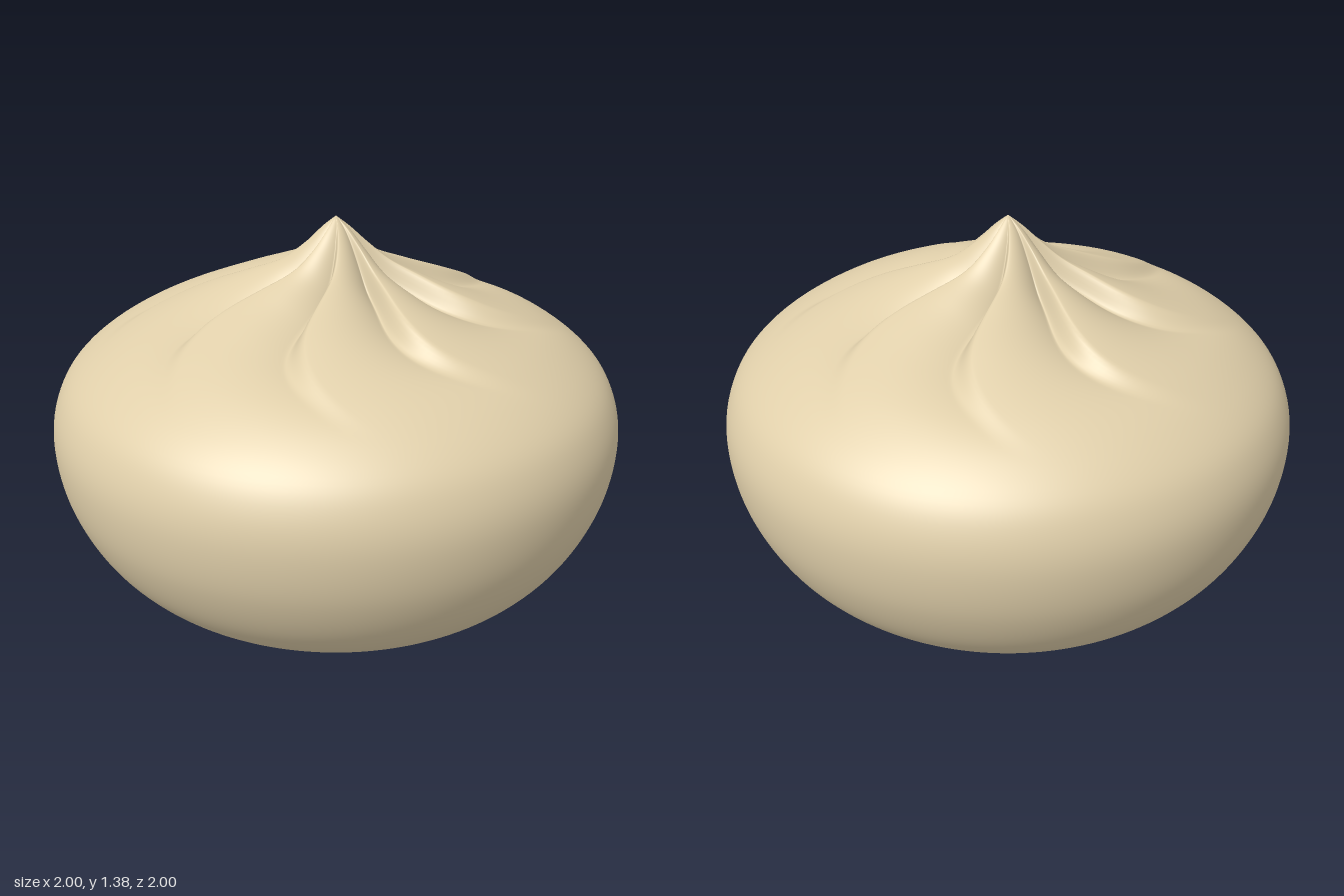
import * as THREE from 'three';
import { mergeVertices } from 'three/addons/utils/BufferGeometryUtils.js';

const PLEATS = 8;
const STEP = 0.17; // share of each pleat taken by its steep side

// Radius and height, from the base up to the pinched tip
const PROFILE = [
  [0.32, 0], [0.55, 0.04], [0.74, 0.13], [0.88, 0.27], [0.97, 0.45], [1, 0.63],
  [0.975, 0.77], [0.9, 0.88], [0.74, 0.99], [0.5, 1.1], [0.31, 1.175],
  [0.19, 1.225], [0.11, 1.285], [0.05, 1.34], [0, 1.38],
];

const smooth = THREE.MathUtils.smoothstep;

// Sideways sweep of the pleats: out, then curling back
const twist = (r) => (r < 0.85 ? 0.42 * Math.sin((Math.PI * r) / 0.85) : 0);

// Depth of the folds along the radius
const foldDepth = (r) => 0.075 * smooth(r, 0, 0.2) * (1 - smooth(r, 0.3, 0.84));

// Cross-section of one fold: a quick drop, then a slow rise to the next ridge
function fold(t) {
  if (t < STEP) return smooth(t, 0, STEP);
  return Math.pow(1 - (t - STEP) / (1 - STEP), 1.8);
}

function createBody() {
  const curve = new THREE.SplineCurve(PROFILE.map(([r, y]) => new THREE.Vector2(r, y)));
  const points = curve.getSpacedPoints(110);
  points[110].x = 0;
  const lathe = new THREE.LatheGeometry(points, PLEATS * 40);
  lathe.deleteAttribute('uv');
  lathe.deleteAttribute('normal');
  const geometry = mergeVertices(lathe, 1e-5);

  // Press the swirling folds into the upper half
  const pos = geometry.attributes.position;
  for (let i = 0; i < pos.count; i++) {
    const x = pos.getX(i), y = pos.getY(i), z = pos.getZ(i);
    const r = Math.hypot(x, z);
    if (y < 0.7 || r < 1e-4) continue;
    const angle = Math.atan2(x, -z);
    const phase = (angle * PLEATS) / (2 * Math.PI) + STEP / 2 + 1e-4;
    const t = phase - Math.floor(phase);
    const a = angle + twist(r);
    pos.setXYZ(i, r * Math.sin(a), y - foldDepth(r) * fold(t), -r * Math.cos(a));
  }
  geometry.computeVertexNormals();
  return geometry;
}

export function createModel() {
  const group = new THREE.Group();
  group.name = 'steamedBun';
  const dough = new THREE.MeshStandardMaterial({ color: 0xe0cfaa });

  const body = new THREE.Mesh(createBody(), dough);
  body.name = 'pleatedBody';
  group.add(body);

  // Flat underside
  const base = new THREE.Mesh(new THREE.CircleGeometry(0.32, 96), dough);
  base.name = 'base';
  base.rotation.x = Math.PI / 2;
  group.add(base);

  return group;
}
